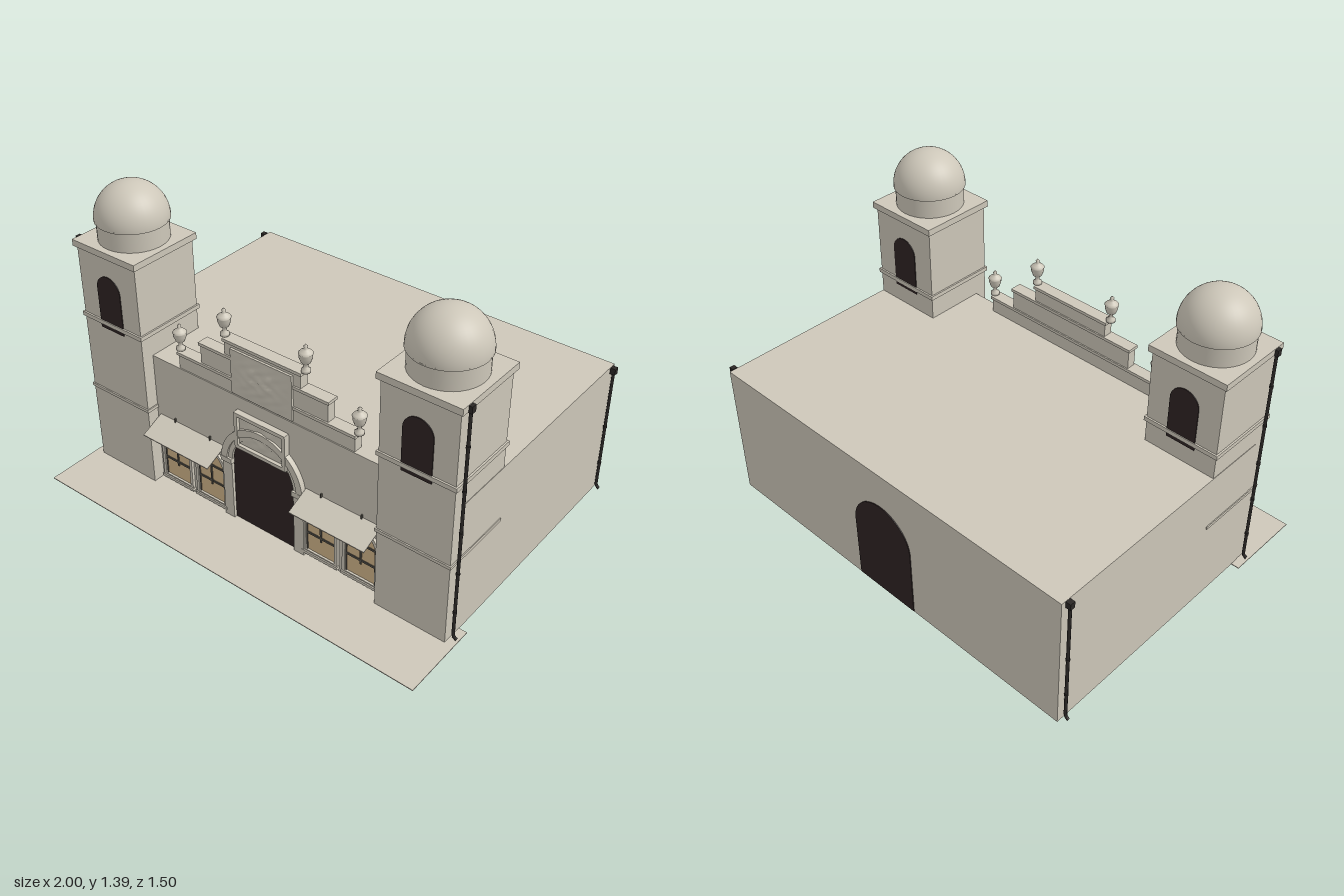
import * as THREE from 'three';

const mat = (name, color) => {
  const m = new THREE.MeshStandardMaterial({ color });
  m.name = name;
  return m;
};

export function createModel() {
  const root = new THREE.Group();
  root.name = 'building';
  const stone = mat('stone', 0xcdc7b9);
  const dark = mat('darkOpening', 0x2e2424);
  const iron = mat('iron', 0x2b2826);
  const glass = mat('warmGlass', 0xd2b68a);
  const bar = mat('windowBar', 0x55524a);

  const add = (parent, name, geo, material, x = 0, y = 0, z = 0) => {
    const m = new THREE.Mesh(geo, material);
    m.name = name;
    m.position.set(x, y, z);
    parent.add(m);
    return m;
  };
  // box given by its extents
  const block = (parent, name, material, x0, x1, y0, y1, z0, z1) =>
    add(parent, name, new THREE.BoxGeometry(x1 - x0, y1 - y0, z1 - z0), material,
      (x0 + x1) / 2, (y0 + y1) / 2, (z0 + z1) / 2);
  // upright outline with a round head
  const arched = (half, y0, top, Type = THREE.Shape) => {
    const s = new Type();
    s.moveTo(-half, y0);
    s.lineTo(half, y0);
    s.lineTo(half, top - half);
    s.absarc(0, top - half, half, 0, Math.PI, false);
    s.closePath();
    return s;
  };
  const extrude = (shape, depth) =>
    new THREE.ExtrudeGeometry(shape, { depth, bevelEnabled: false, curveSegments: 20 });
  // half ring standing on its springing line
  const halfRing = (outer, inner) => {
    const s = new THREE.Shape();
    s.absarc(0, 0, outer, 0, Math.PI, false);
    s.lineTo(-inner, 0);
    s.absarc(0, 0, inner, Math.PI, 0, true);
    s.closePath();
    return s;
  };
  // carved surface, rippled by a rule
  const relief = (w, h, depth) => {
    const g = new THREE.PlaneGeometry(w, h, 28, 18);
    const p = g.attributes.position;
    for (let i = 0; i < p.count; i++) {
      const u = p.getX(i), v = p.getY(i);
      const edge = Math.cos(Math.PI * u / w) * Math.cos(Math.PI * v / h);
      p.setZ(i, depth * edge * (1 + Math.sin(u * 70 + 2 * Math.sin(v * 45)) * Math.cos(v * 80)) * 0.5);
    }
    g.computeVertexNormals();
    return g;
  };

  const WALL = 0.42;
  // hall and forecourt
  block(root, 'hall', stone, -0.962, 0.962, 0, 0.66, -0.75, WALL);
  block(root, 'forecourt', stone, -1, 1, 0, 0.004, 0.38, 0.75);
  add(root, 'backDoor', extrude(arched(0.165, 0.005, 0.49), 0.004), dark, 0, 0, -0.754);

  // stepped parapet with coping on each step
  [[0.47, 0.66, 0.74], [0.34, 0.74, 0.84], [0.205, 0.84, 0.915]].forEach(([h, y0, y1], i) => {
    block(root, 'parapetStep' + (i + 1), stone, -h + 0.006, h - 0.006, y0, y1 - 0.014, 0.372, 0.415);
    block(root, 'parapetCoping' + (i + 1), stone, -h, h, y1 - 0.014, y1, 0.366, 0.422);
  });
  block(root, 'crestPanel', stone, -0.16, 0.16, 0.67, 0.885, 0.40, 0.425);
  add(root, 'crestRelief', relief(0.31, 0.2, 0.014), stone, 0, 0.777, 0.426);

  // urns on the parapet
  const urnProfile = [[0, 0], [0.02, 0], [0.02, 0.012], [0.009, 0.02], [0.009, 0.034], [0.02, 0.045],
    [0.028, 0.068], [0.028, 0.082], [0.031, 0.086], [0.024, 0.094], [0.012, 0.102], [0.007, 0.108],
    [0.009, 0.117], [0, 0.128]].map(([r, y]) => new THREE.Vector2(r, y));
  const urnGeo = new THREE.LatheGeometry(urnProfile, 18);
  for (const [x, y] of [[-0.47, 0.74], [-0.21, 0.915], [0.21, 0.915], [0.47, 0.74]])
    add(root, 'urn', urnGeo, stone, x, y, 0.395);

  // main entrance
  const entrance = new THREE.Group();
  entrance.name = 'entrance';
  root.add(entrance);
  block(entrance, 'frontDoor', dark, -0.168, 0.168, 0.005, 0.4, WALL, WALL + 0.005);
  const tympanum = new THREE.Shape();
  tympanum.moveTo(0.172, 0.385);
  tympanum.quadraticCurveTo(0.13, 0.485, 0, 0.49);
  tympanum.quadraticCurveTo(-0.13, 0.485, -0.172, 0.385);
  tympanum.quadraticCurveTo(-0.15, 0.4, -0.12, 0.4);
  tympanum.lineTo(0.12, 0.4);
  tympanum.quadraticCurveTo(0.15, 0.4, 0.172, 0.385);
  add(entrance, 'tympanum', extrude(tympanum, 0.009), stone, 0, 0, WALL);
  add(entrance, 'outerArch', extrude(halfRing(0.222, 0.19), 0.025), stone, 0, 0.318, WALL);
  add(entrance, 'innerArch', extrude(halfRing(0.192, 0.168), 0.016), stone, 0, 0.318, WALL);
  for (const s of [-1, 1]) {
    const x = s * 0.195;
    block(entrance, 'pilaster', stone, x - 0.026, x + 0.026, 0, 0.318, WALL, WALL + 0.018);
    block(entrance, 'pilasterCap', stone, x - 0.03, x + 0.03, 0.305, 0.33, WALL, WALL + 0.026);
  }
  // framed panel over the arch
  const frame = new THREE.Shape();
  frame.moveTo(-0.137, 0.415);
  frame.lineTo(0.137, 0.415);
  frame.lineTo(0.137, 0.595);
  frame.lineTo(-0.137, 0.595);
  const opening = new THREE.Path();
  opening.moveTo(-0.12, 0.432);
  opening.lineTo(-0.12, 0.578);
  opening.lineTo(0.12, 0.578);
  opening.lineTo(0.12, 0.432);
  frame.holes.push(opening);
  add(entrance, 'panelFrame', extrude(frame, 0.028), stone, 0, 0, WALL);
  add(entrance, 'panelRelief', relief(0.24, 0.146, 0.012), stone, 0, 0.505, WALL + 0.012);

  // arched windows with frames and bars
  const frameShape = arched(0.09, 0.03, 0.315);
  frameShape.holes.push(arched(0.075, 0.042, 0.3, THREE.Path));
  const frameGeo = extrude(frameShape, 0.014);
  const paneGeo = extrude(arched(0.077, 0.04, 0.302), 0.004);
  for (const x of [-0.51, -0.305, 0.305, 0.51]) {
    const w = new THREE.Group();
    w.name = 'window';
    w.position.set(x, 0, WALL);
    root.add(w);
    add(w, 'windowPane', paneGeo, glass);
    add(w, 'windowFrame', frameGeo, stone);
    block(w, 'windowSill', stone, -0.094, 0.094, 0.022, 0.036, 0, 0.02);
    for (const y of [0.135, 0.222]) block(w, 'crossBar', bar, -0.075, 0.075, y - 0.005, y + 0.005, 0, 0.008);
    block(w, 'centreBar', bar, -0.004, 0.004, 0.115, 0.3, 0, 0.009);
    for (const s of [-1, 1]) block(w, 'sideBar', bar, s * 0.073 - 0.003, s * 0.073 + 0.003, 0.042, 0.225, 0, 0.008);
    block(w, 'awningBracket', bar, -0.003, 0.003, 0.3, 0.375, 0, 0.008);
  }

  // sloping awnings, one over each pair of windows
  for (const s of [-1, 1]) {
    const slope = new THREE.Shape();
    slope.moveTo(0, 0.354);
    slope.lineTo(0.113, 0.304);
    slope.lineTo(0.113, 0.308);
    slope.lineTo(0, 0.359);
    const g = extrude(slope, 0.38);
    g.rotateY(-Math.PI / 2);
    g.translate(0.19, 0, 0);
    add(root, 'awning', g, stone, s * 0.413, 0, WALL);
  }

  // corner towers
  const towerWindow = extrude(arched(0.068, 0.745, 1.01), 0.004);
  const dome = new THREE.SphereGeometry(0.161, 36, 16, 0, Math.PI * 2, 0, Math.PI / 2);
  for (const s of [-1, 1]) {
    const t = new THREE.Group();
    t.name = s > 0 ? 'leftTower' : 'rightTower';
    t.position.set(s * 0.79, 0, 0.308);
    root.add(t);
    const slab = (name, h, y0, y1) => block(t, name, stone, -h, h, y0, y1, -h, h);
    slab('towerShaft', 0.17, 0, 1.11);
    slab('lowerBelt', 0.176, 0.39, 0.405);
    slab('upperBelt', 0.178, 0.763, 0.783);
    slab('towerCornice', 0.183, 1.105, 1.135);
    add(t, 'domeDrum', new THREE.CylinderGeometry(0.153, 0.153, 0.1, 36), stone, 0, 1.183, 0);
    add(t, 'dome', dome, stone, 0, 1.228, 0);
    add(t, 'domeBase', new THREE.CylinderGeometry(0.161, 0.161, 0.006, 36), stone, 0, 1.226, 0);
    add(t, 'frontOpening', towerWindow, dark, 0, 0, 0.17);
    add(t, 'backOpening', towerWindow, dark, 0, 0, -0.174);
  }

  // rain pipes with hopper heads, collars and turned-out feet
  for (const s of [-1, 1]) for (const [z, top] of [[0.445, 1.12], [-0.72, 0.65]]) {
    const p = new THREE.Group();
    p.name = 'rainPipe';
    root.add(p);
    const x = s * 0.976;
    const path = new THREE.CurvePath();
    const a = new THREE.Vector3(x, top, z), b = new THREE.Vector3(x, 0.035, z);
    path.add(new THREE.LineCurve3(a, b));
    path.add(new THREE.QuadraticBezierCurve3(b, new THREE.Vector3(x, 0.018, z), new THREE.Vector3(s * 0.993, 0.012, z)));
    add(p, 'pipe', new THREE.TubeGeometry(path, 60, 0.007, 8), iron);
    block(p, 'hopper', iron, x - 0.012, x + 0.012, top - 0.018, top + 0.012, z - 0.012, z + 0.012);
    for (let y = 0.15; y < top - 0.1; y += 0.2)
      add(p, 'collar', new THREE.CylinderGeometry(0.009, 0.009, 0.01, 8), iron, x, y, z);
  }
  return root;
}
